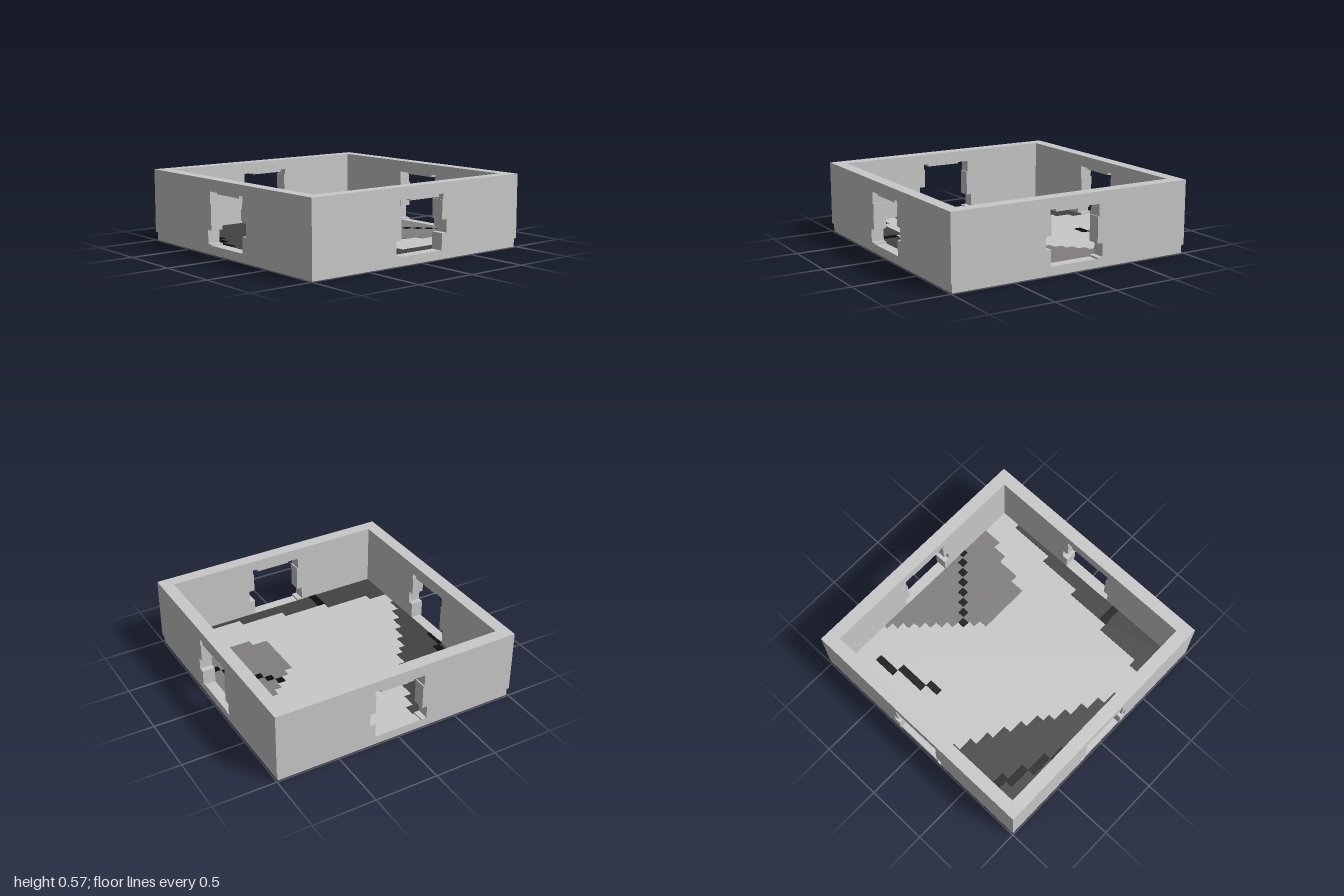
import * as THREE from 'three';

const paint = (name, color) => {
  const m = new THREE.MeshStandardMaterial({ color });
  m.name = name;
  return m;
};

const FLOOR = 0.067, TOP = 0.567, INNER = 0.9;

// Ragged doorway outline, walked from the lower left to the lower right
const DOORWAY = [
  [-0.2, FLOOR], [-0.2, 0.08], [-0.243, 0.08], [-0.243, 0.184], [-0.2, 0.184],
  [-0.2, 0.383], [-0.21, 0.383], [-0.21, 0.476], [-0.117, 0.476], [-0.117, 0.465],
  [0.163, 0.465], [0.163, 0.485], [0.208, 0.485], [0.208, 0.441], [0.2, 0.441],
  [0.2, 0.294], [0.246, 0.294], [0.246, 0.195], [0.2, 0.195], [0.2, FLOOR],
];

const toShape = (points) => new THREE.Shape(points.map(([x, y]) => new THREE.Vector2(x, y)));

// Wall with a doorway, centred on its own thickness
function wallGeometry(half) {
  const outline = [[-half, FLOOR], ...DOORWAY, [half, FLOOR], [half, TOP], [-half, TOP]];
  const geo = new THREE.ExtrudeGeometry(toShape(outline), { depth: 1 - INNER, bevelEnabled: false });
  return geo.translate(0, 0, -(1 - INNER) / 2);
}

// Turns [end, level] steps into staircase corners along the first axis
function stairs(start, steps) {
  const corners = [];
  let from = start;
  for (const [end, level] of steps) {
    corners.push([from, level], [end, level]);
    from = end;
  }
  return corners;
}

export function createModel() {
  const model = new THREE.Group();
  const stone = paint('light grey stone', 0xc9c9c9);
  const dark = paint('dark grey floor', 0x424242);
  const mid = paint('mid grey floor', 0x807e7e);
  const black = paint('black markings', 0x0d0d0d);

  const add = (name, geo, mat, parent = model) => {
    const mesh = new THREE.Mesh(geo, mat);
    mesh.name = name;
    parent.add(mesh);
    return mesh;
  };

  // Base slab, slightly inset beneath the walls
  add('floorSlab', new THREE.BoxGeometry(1.977, FLOOR, 1.977), stone).position.y = FLOOR / 2;

  // Four walls; the side walls fit between the front and back ones
  const mid0 = (1 + INNER) / 2;
  const longWall = wallGeometry(1), shortWall = wallGeometry(INNER);
  add('frontWall', longWall, stone).position.z = mid0;
  add('backWall', longWall, stone).position.z = -mid0;
  for (const [name, side] of [['leftWall', 1], ['rightWall', -1]]) {
    const wall = add(name, shortWall, stone);
    wall.rotation.y = -Math.PI / 2;
    wall.position.x = side * mid0;
  }

  // Thin floor patches, outlined in x and z
  const patch = (name, points, mat) => {
    const geo = new THREE.ExtrudeGeometry(toShape(points.map(([x, z]) => [x, -z])),
      { depth: 0.003, bevelEnabled: false });
    add(name, geo.rotateX(-Math.PI / 2), mat).position.y = FLOOR;
  };

  // Dark patch along the right wall, stepping in towards the front
  const rightEdge = stairs(-INNER, [
    [-0.81, -0.19], [-0.69, -0.253], [-0.565, -0.315], [-0.44, -0.375],
    [-0.317, -0.44], [-0.195, -0.5], [-0.13, -0.563], [-0.01, -0.623],
    [0.115, -0.685], [0.24, -0.747], [0.36, -0.81], [0.483, -0.872],
  ]).map(([z, x]) => [x, z]);
  patch('rightDarkPatch', [[-INNER, -INNER], ...rightEdge, [-INNER, 0.483]], dark);

  // Dark patch along the front wall
  const frontEdge = stairs(-INNER, [
    [-0.747, 0.612], [-0.375, 0.675], [0, 0.738], [0.365, 0.8], [0.74, 0.863],
  ]);
  patch('frontDarkPatch', [[-INNER, INNER], ...frontEdge, [0.74, INNER]], dark);

  // Mid grey patch at the left wall
  const patchBack = stairs(0.308, [
    [0.375, 0.062], [0.435, 0], [0.497, -0.062], [0.56, -0.125], [0.622, -0.188],
    [0.685, -0.25], [0.745, -0.313], [0.81, -0.375], [0.87, -0.437], [INNER, -0.495],
  ]);
  const patchFront = stairs(0.308, [
    [0.433, 0.49], [0.62, 0.553], [0.742, 0.615], [INNER, 0.675],
  ]).reverse();
  patch('leftGreyPatch', [...patchBack, ...patchFront], mid);

  // Black markings as thin tiles: x0, x1, z0, z1
  const markings = new THREE.Group();
  markings.name = 'floorMarkings';
  model.add(markings);
  const tiles = [
    [0.188, 0.305, -0.62, -0.565], [0.305, 0.555, -0.682, -0.622], [0.555, 0.742, -0.745, -0.688],
    [-0.375, -0.31, 0.738, INNER],
    [-0.685, -0.565, -INNER, -0.87], [-0.685, -0.62, -0.87, -0.72],
    [-0.75, -0.685, -0.75, -0.565], [-0.81, -0.748, -0.565, -0.38],
    [-0.872, -0.81, -0.38, -0.25], [-INNER, -0.87, -0.25, -0.07],
  ];
  for (let i = 0; i < 8; i++) {
    const x = 0.433 + i * 0.062, z = -0.067 + i * 0.0625;
    tiles.push([x, Math.min(x + 0.058, INNER), z, z + 0.056]);
  }
  for (const [x0, x1, z0, z1] of tiles) {
    const tile = add('marking', new THREE.BoxGeometry(x1 - x0, 0.006, z1 - z0), black, markings);
    tile.position.set((x0 + x1) / 2, FLOOR + 0.003, (z0 + z1) / 2);
  }

  return model;
}
